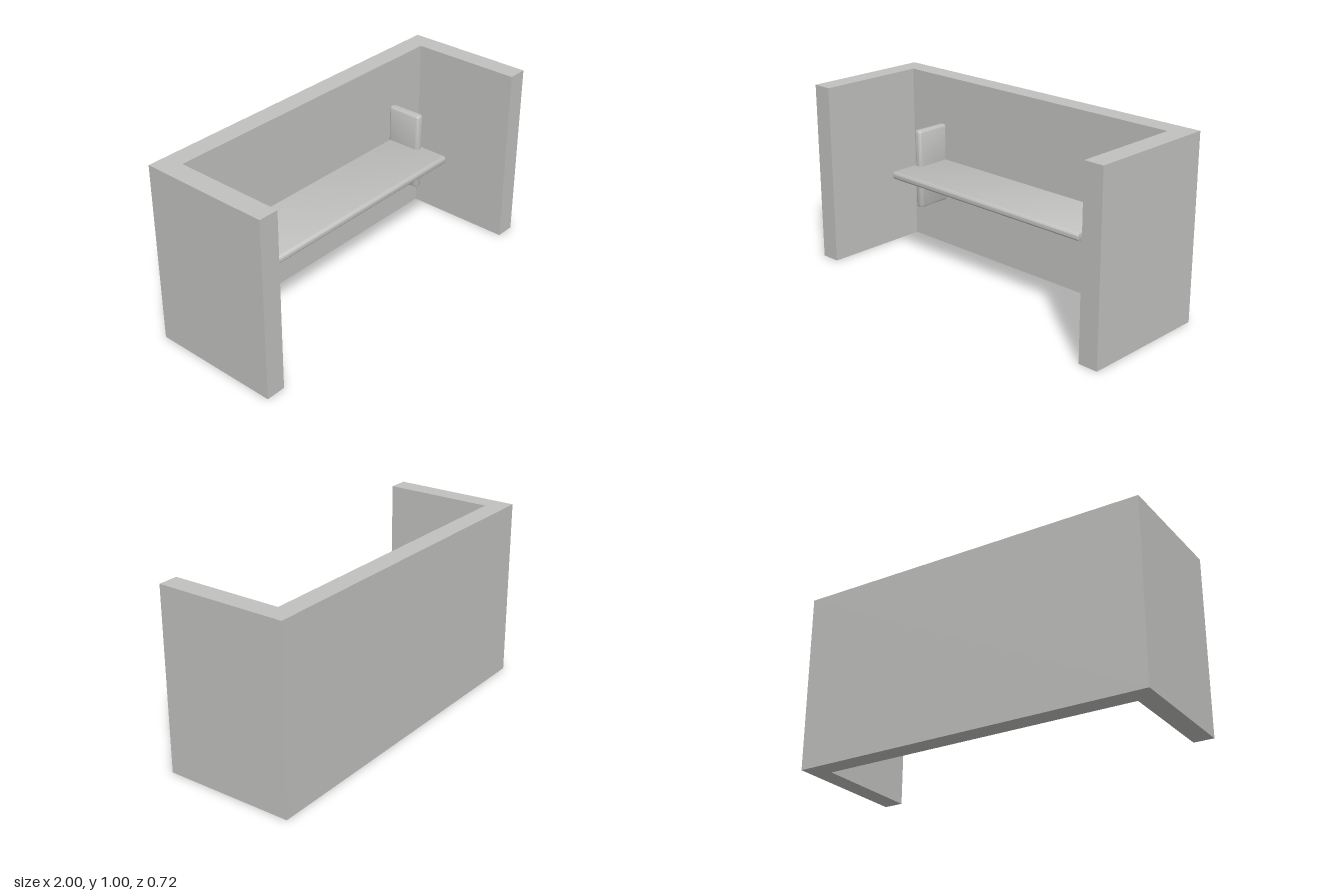
import * as THREE from 'three';
import { toCreasedNormals } from 'three/addons/utils/BufferGeometryUtils.js';

// Upright bar with a stadium cross-section (w along x, depth along z), centred
function roundedBar(w, depth, height, bevel) {
  const r = w / 2, s = depth / 2 - r;
  const shape = new THREE.Shape();
  shape.absarc(0, s, r, 0, Math.PI, false);
  shape.absarc(0, -s, r, Math.PI, Math.PI * 2, false);
  shape.closePath();
  const geo = new THREE.ExtrudeGeometry(shape, {
    depth: height - 2 * bevel, curveSegments: 12,
    bevelEnabled: true, bevelThickness: bevel, bevelSize: bevel, bevelOffset: -bevel, bevelSegments: 4,
  });
  geo.rotateX(-Math.PI / 2);
  geo.translate(0, -height / 2 + bevel, 0);
  return toCreasedNormals(geo, 0.6);
}

export function createModel() {
  const model = new THREE.Group();
  model.name = 'alcoveWithShelf';
  const grey = new THREE.MeshStandardMaterial({ color: 0xc0c0be });
  grey.name = 'light grey';

  const add = (name, geo, x, y, z) => {
    const mesh = new THREE.Mesh(geo, grey);
    mesh.name = name;
    mesh.position.set(x, y, z);
    model.add(mesh);
  };

  // U-shaped wall: back and two sides in one piece
  const D = 0.362, T = 0.11;
  const plan = new THREE.Shape([
    [-1, -D], [-1 + T, -D], [-1 + T, D - T], [1 - T, D - T],
    [1 - T, -D], [1, -D], [1, D], [-1, D],
  ].map(([x, y]) => new THREE.Vector2(x, y)));
  const walls = new THREE.ExtrudeGeometry(plan, { depth: 1, bevelEnabled: false });
  walls.rotateX(-Math.PI / 2);
  add('walls', walls, 0, 0, 0);

  // Shelf board with rounded front and back edges
  const back = -D + T, shelfDepth = 0.375;
  const shelf = roundedBar(0.044, shelfDepth, 1.33, 0.004);
  shelf.rotateZ(-Math.PI / 2);
  add('shelf', shelf, 0, 0.5, back + shelfDepth / 2);

  // Upright brackets at the shelf ends
  const bracketDepth = 0.212;
  for (const [name, side] of [['leftBracket', 1], ['rightBracket', -1]]) {
    add(name, roundedBar(0.05, bracketDepth, 0.445, 0.01), side * 0.639, 0.503, back + bracketDepth / 2);
  }
  return model;
}
